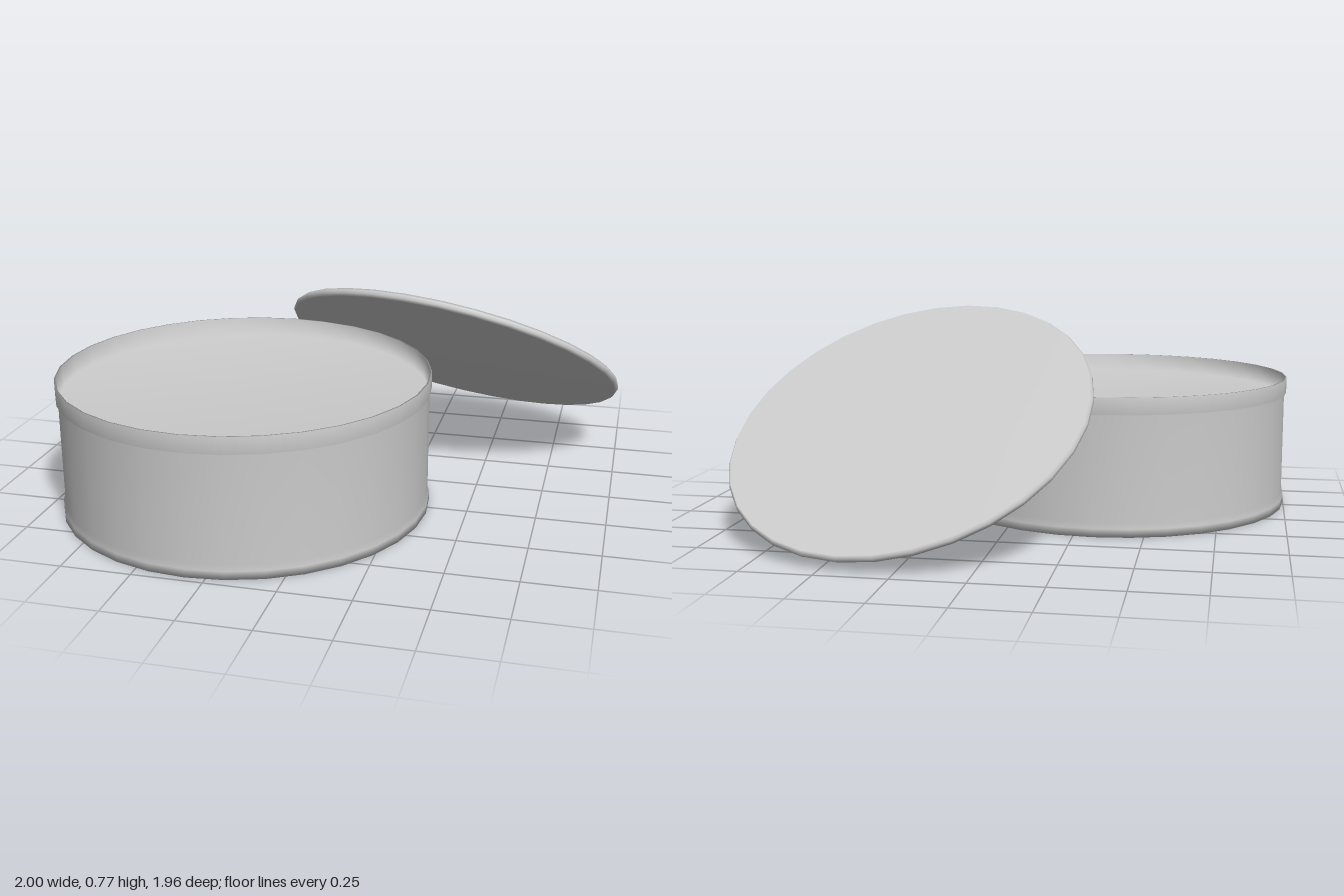
import * as THREE from 'three';

const material = new THREE.MeshStandardMaterial({ color: 0xcccccc, side: THREE.DoubleSide });

// Round part turned from an [radius, height] profile, bottom centre to top centre
function turned(name, profile) {
  const points = profile.map(([r, y]) => new THREE.Vector2(r, y));
  const mesh = new THREE.Mesh(new THREE.LatheGeometry(points, 32), material);
  mesh.name = name;
  return mesh;
}

export function createModel() {
  const model = new THREE.Group();
  model.name = 'openTin';

  // Tin: flat base, bottom bead, straight wall, raised lip around a sunken top
  const tin = turned('tin', [
    [0, 0], [0.678, 0], [0.678, 0.03], [0.672, 0.05],
    [0.672, 0.435], [0.68, 0.44], [0.68, 0.5],
    [0.673, 0.5], [0.668, 0.43], [0, 0.43],
  ]);
  tin.position.set(-0.32, 0, 0.3);
  model.add(tin);

  // Lid: thin disc with a softened edge, leaning against the tin
  const lid = turned('lid', [
    [0, -0.016], [0.662, -0.016], [0.67, -0.006],
    [0.67, 0.006], [0.662, 0.016], [0, 0.016],
  ]);
  const lidNormal = new THREE.Vector3(0.145, 0.84, -0.525).normalize();
  lid.quaternion.setFromUnitVectors(new THREE.Vector3(0, 1, 0), lidNormal);
  lid.position.set(0.335, 0.402, -0.405);
  model.add(lid);

  return model;
}
